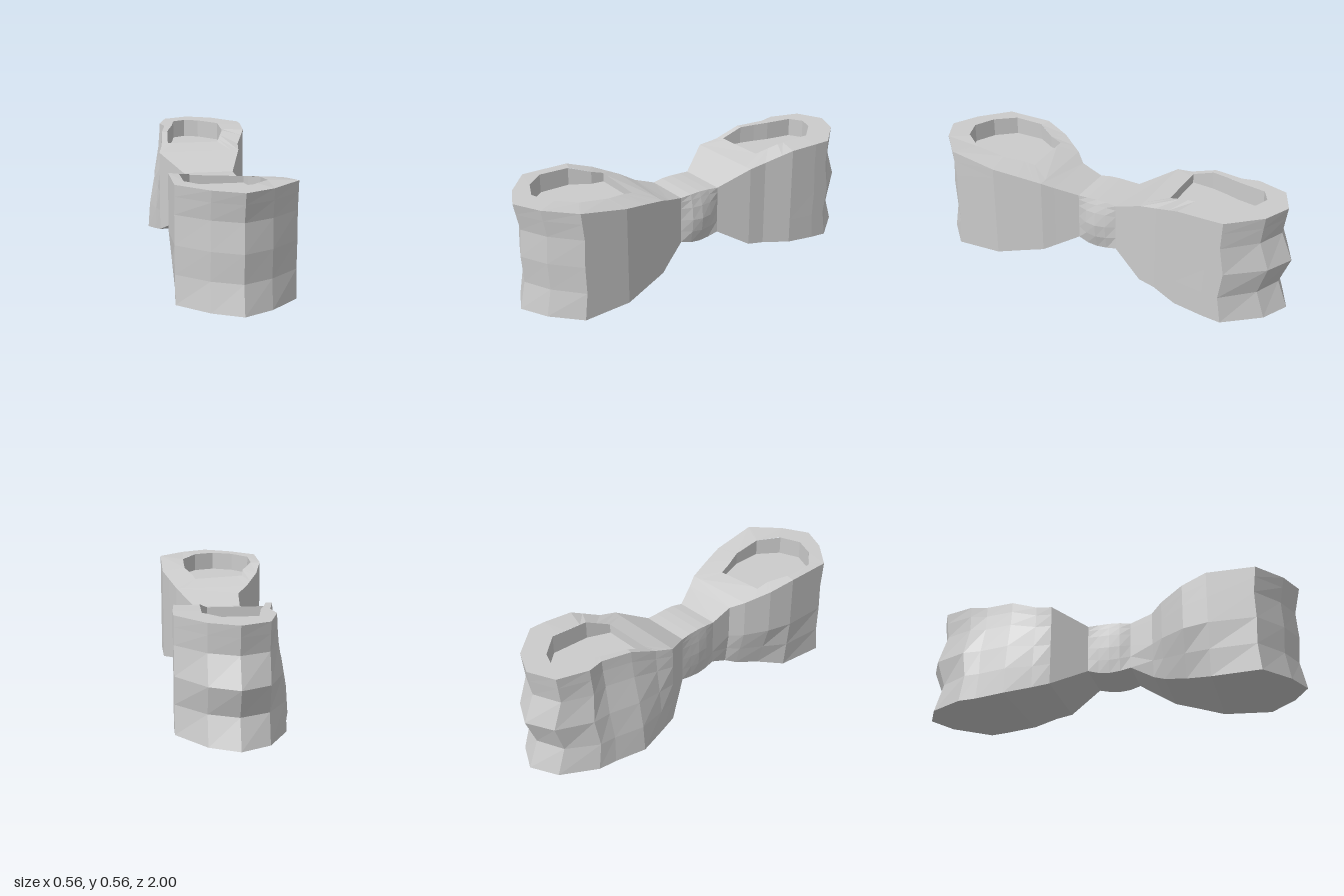
import * as THREE from 'three';

const MAT = new THREE.MeshStandardMaterial({ color: 0xcccccc, flatShading: true });
const MAT2 = new THREE.MeshStandardMaterial({ color: 0xcccccc, flatShading: true, side: THREE.DoubleSide });
const { lerp, clamp } = THREE.MathUtils;
const HEIGHT = 0.563, FLOOR = 0.465;
const WAIST_BACK = -0.1, WAIST_FRONT = 0.125;
const BACK_RIM = -0.27, FRONT_RIM = 0.3;

// Smooth bump that is 1 midway between a and b and 0 outside
const bump = (z, a, b) => Math.sin(Math.PI * clamp((z - a) / (b - a), 0, 1));

// Stations along z: z, xMin, xMax, then bottom y at xMin and xMax, top y at xMin and xMax where not full height
const backLobe = [
  [-1, 0, 0],
  [-0.93, -0.14, 0.14],
  [-0.755, -0.24, 0.28],
  [-0.66, -0.25, 0.28, 0, 0.008],
  [-0.5, -0.285, 0.268, 0.003, 0.022, 0.557, 0.557],
  [-0.36, -0.258, 0.212, 0.03, 0.038, 0.505, 0.505],
  [BACK_RIM, -0.24, 0.2, 0.05, 0.05, 0.485, 0.487],
  [WAIST_BACK, -0.128, 0.138, 0.15, 0.15, 0.405, 0.405],
];
const frontLobe = [
  [WAIST_FRONT, -0.12, 0.125, 0.15, 0.15, 0.402, 0.402],
  [0.24, -0.125, 0.18, 0.093, 0.093, 0.445, 0.442],
  [FRONT_RIM, -0.18, 0.212, 0.065, 0.065, 0.475, 0.467],
  [0.42, -0.248, 0.245, 0.035, 0.04, 0.522, 0.493],
  [0.55, -0.285, 0.278, 0, 0.01, 0.56, 0.518],
  [0.8, -0.285, 0.28],
  [0.93, -0.14, 0.14],
  [1, 0, 0],
];
// The barrel-shaped waist joins the lobes
const waistRows = [0.25, 0.5, 0.75].map((f) => {
  const b = bump(f, 0, 1), low = 0.15 - 0.02 * b, high = 0.404 + 0.008 * b;
  return [lerp(WAIST_BACK, WAIST_FRONT, f), -0.124, 0.134, low, low, high, high];
});
const ROWS = [...backLobe, ...waistRows, ...frontLobe];
const LEVELS = [0, 0.25, 0.5, 0.75, 0.9, 1];
const TOP = LEVELS.length - 1;
// How far the end faces are dented inward at each level
const DENT_FRONT = [0, 0.03, 0.02, 0.03, 0.012, 0];
const DENT_BACK = [0, 0.055, 0, 0.06, 0.048, 0.04];
// How strongly the back lobe's -x wall leans inward at each level
const LEAN = [0, 0.12, 0.4, 0.8, 0.95, 1];

// Corner of station j on side s (0 = -x, 1 = +x) at level k
function corner(j, s, k) {
  const [z, x0, x1, b0 = 0, b1 = 0, y0 = HEIGHT, y1 = HEIGHT] = ROWS[j];
  const t = LEVELS[k];
  const w = Math.max(0, (Math.abs(z) - 0.6) / 0.4);
  const swell = bump(z, WAIST_BACK, WAIST_FRONT) * bump(t, 0, 1);
  const lean = 0.09 * LEAN[k] * bump(z, -0.87, BACK_RIM) + 0.07 * Math.max(0, 1 - 2 * t) * bump(z, 0.2, 0.6);
  const dz = z < 0 ? DENT_BACK[k] : -DENT_FRONT[k];
  return new THREE.Vector3(s ? x1 + 0.03 * swell : x0 - 0.01 * swell + lean,
    lerp(s ? b1 : b0, s ? y1 : y0, t), z + dz * w);
}

// Height of the sloping top surface
function topY(x, z) {
  let j = 0;
  while (j < ROWS.length - 2 && corner(j + 1, 0, TOP).z < z) j++;
  const l = corner(j, 0, TOP), r = corner(j, 1, TOP), next = corner(j + 1, 0, TOP);
  const f = clamp((z - l.z) / (next.z - l.z), 0, 1);
  l.lerp(next, f);
  r.lerp(corner(j + 1, 1, TOP), f);
  return lerp(l.y, r.y, clamp((x - l.x) / Math.max(1e-4, r.x - l.x), 0, 1));
}

function named(name, geometry, mat) {
  geometry.computeVertexNormals();
  const m = new THREE.Mesh(geometry, mat);
  m.name = name;
  return m;
}

function quadMesh(name, quads, mat) {
  const pts = quads.flatMap(([a, b, c, d]) => [a, b, c, a, c, d]);
  return named(name, new THREE.BufferGeometry().setFromPoints(pts), mat);
}

// Point where a ray from centre c at angle a leaves a closed loop of [x, z]
function rayHit(loop, c, a) {
  const dx = Math.cos(a), dz = Math.sin(a);
  let best = 0;
  loop.forEach(([x, z], i) => {
    const [u, v] = loop[(i + 1) % loop.length];
    const ex = u - x, ez = v - z, det = ex * dz - ez * dx;
    if (Math.abs(det) < 1e-9) return;
    const along = (dx * (z - c[1]) - dz * (x - c[0])) / det;
    const dist = (ex * (z - c[1]) - ez * (x - c[0])) / det;
    if (along > -1e-6 && along < 1 + 1e-6) best = Math.max(best, dist);
  });
  return [c[0] + dx * best, c[1] + dz * best];
}

// One lobe's top rim with its sunken pocket
function lobeTop(name, first, last, pocket, centre) {
  const group = new THREE.Group();
  group.name = name;
  const edge = [];
  for (const s of [0, 1]) {
    for (let i = first; i <= last; i++) {
      const c = corner(s ? first + last - i : i, s, TOP);
      edge.push([c.x, c.z]);
    }
  }
  // The rim bridges the pocket and the outer edge at every corner direction of both
  const angles = [...edge, ...pocket].map(([x, z]) => Math.atan2(z - centre[1], x - centre[0])).sort((a, b) => a - b);
  const onTop = ([x, z]) => new THREE.Vector3(x, topY(x, z), z);
  const rim = angles.map((a, i) => {
    const b = angles[(i + 1) % angles.length];
    return [rayHit(pocket, centre, a), rayHit(pocket, centre, b),
      rayHit(edge, centre, b), rayHit(edge, centre, a)].map(onTop);
  });
  const walls = pocket.map((p, i) => {
    const q = pocket[(i + 1) % pocket.length];
    return [new THREE.Vector3(p[0], FLOOR, p[1]), new THREE.Vector3(q[0], FLOOR, q[1]), onTop(q), onTop(p)];
  });
  const outline = new THREE.Shape(pocket.map(([x, z]) => new THREE.Vector2(x, -z)));
  const floor = new THREE.ShapeGeometry(outline).rotateX(-Math.PI / 2).translate(0, FLOOR, 0);
  group.add(quadMesh('rim', rim, MAT2), quadMesh('pocketWall', walls, MAT2), named('pocketFloor', floor, MAT));
  return group;
}

export function createModel() {
  const model = new THREE.Group();
  model.name = 'doubleLobedBody';
  const n = ROWS.length - 1;
  const backEnd = ROWS.findIndex((r) => r[0] === BACK_RIM);
  const frontStart = ROWS.findIndex((r) => r[0] === FRONT_RIM);
  const sides = [], bottom = [], waist = [];
  for (let j = 0; j < n; j++) {
    for (let k = 0; k < TOP; k++) {
      for (const s of [0, 1]) {
        const q = [corner(j, s, k), corner(j + 1, s, k), corner(j + 1, s, k + 1), corner(j, s, k + 1)];
        sides.push(s ? q.reverse() : q);
      }
    }
    bottom.push([corner(j, 0, 0), corner(j, 1, 0), corner(j + 1, 1, 0), corner(j + 1, 0, 0)]);
    if (j >= backEnd && j < frontStart)
      waist.push([corner(j, 0, TOP), corner(j + 1, 0, TOP), corner(j + 1, 1, TOP), corner(j, 1, TOP)]);
  }
  model.add(quadMesh('sideWalls', sides, MAT), quadMesh('underside', bottom, MAT), quadMesh('waistTop', waist, MAT));

  // Pocket outlines as [x, z]
  const frontPocket = [[-0.165, 0.405], [0.1, 0.405], [0.112, 0.46], [0.15, 0.57], [0.15, 0.73], [0.07, 0.84],
    [-0.04, 0.88], [-0.15, 0.83], [-0.235, 0.73], [-0.235, 0.57], [-0.175, 0.47]];
  const backPocket = [[-0.18, -0.385], [0.1, -0.385], [0.145, -0.5], [0.15, -0.7], [0.05, -0.81],
    [-0.03, -0.84], [-0.1, -0.8], [-0.125, -0.66], [-0.15, -0.58], [-0.17, -0.5]];
  model.add(lobeTop('frontLobeTop', frontStart, n, frontPocket, [-0.03, 0.62]),
    lobeTop('backLobeTop', 0, backEnd, backPocket, [0, -0.58]));
  return model;
}
